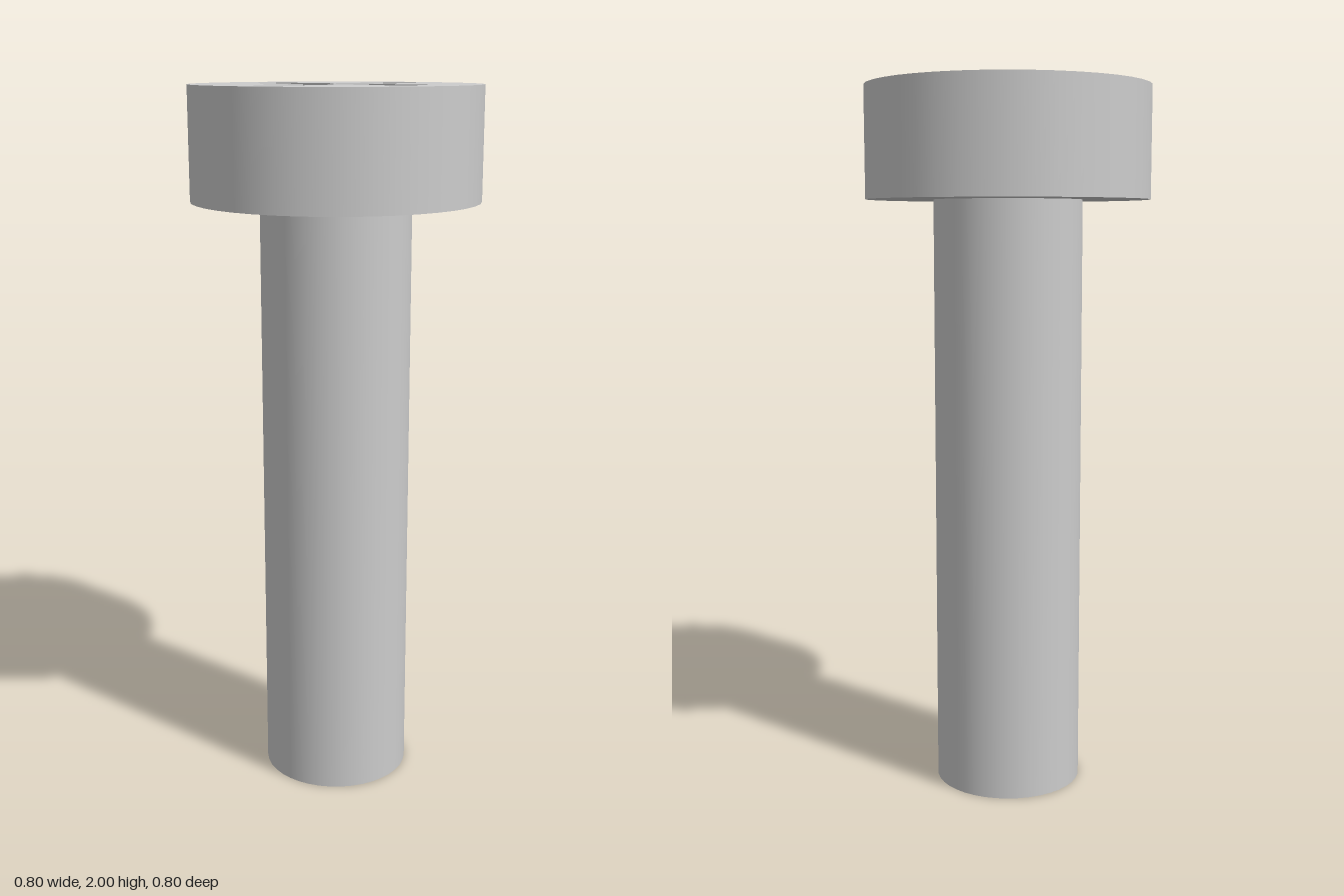
import * as THREE from 'three';

const SIDES = 40;
const HEAD_R = 0.4, SHANK_R = 0.21, TOP = 2, HEAD_BASE = 1.69;
const SLOT_LONG = 0.281, SLOT_HALF = 0.063, SLOT_DEPTH = 0.155;

// Points around a circle, matching the cylinder's sides
function circlePoints(r) {
  return Array.from({ length: SIDES }, (_, i) => {
    const a = (i / SIDES) * Math.PI * 2;
    return new THREE.Vector2(r * Math.cos(a), r * Math.sin(a));
  });
}

// Counter-clockwise outline of the cross recess, one arm per quarter turn
function crossPoints() {
  const points = [];
  for (let i = 0; i < 4; i++) {
    const arm = [[SLOT_LONG, -SLOT_HALF], [SLOT_LONG, SLOT_HALF], [SLOT_HALF, SLOT_HALF]];
    for (const [x, y] of arm) {
      points.push(new THREE.Vector2(x, y).rotateAround(new THREE.Vector2(), i * Math.PI / 2));
    }
  }
  return points;
}

// Flat horizontal face at height y, facing up or down
function flatFace(outline, hole, y, up = true) {
  const shape = new THREE.Shape(outline);
  if (hole) shape.holes.push(new THREE.Path(hole));
  return new THREE.ShapeGeometry(shape).rotateX(up ? -Math.PI / 2 : Math.PI / 2).translate(0, y, 0);
}

// Vertical walls facing into the recess
function recessWalls(outline, top, bottom) {
  const pos = [];
  outline.forEach((a, i) => {
    const b = outline[(i + 1) % outline.length];
    const at = [a.x, top, -a.y], bt = [b.x, top, -b.y];
    const ab = [a.x, bottom, -a.y], bb = [b.x, bottom, -b.y];
    pos.push(...at, ...bt, ...ab, ...bt, ...bb, ...ab);
  });
  const geometry = new THREE.BufferGeometry();
  geometry.setAttribute('position', new THREE.Float32BufferAttribute(pos, 3));
  geometry.computeVertexNormals();
  return geometry;
}

export function createModel() {
  const screw = new THREE.Group();
  screw.name = 'screw';
  const steel = new THREE.MeshStandardMaterial({ color: 0xcccccc });
  steel.name = 'steel';
  const head = new THREE.Group();
  head.name = 'head';
  screw.add(head);

  const add = (parent, name, geometry) => {
    const mesh = new THREE.Mesh(geometry, steel);
    mesh.name = name;
    parent.add(mesh);
  };

  const cross = crossPoints();
  const headHeight = TOP - HEAD_BASE;

  // Head: rim, top with cross recess, underside
  add(head, 'headRim', new THREE.CylinderGeometry(HEAD_R, HEAD_R, headHeight, SIDES, 1, true)
    .translate(0, HEAD_BASE + headHeight / 2, 0));
  add(head, 'headTop', flatFace(circlePoints(HEAD_R), cross, TOP));
  add(head, 'headUnderside', flatFace(circlePoints(HEAD_R), circlePoints(SHANK_R), HEAD_BASE, false));
  add(head, 'recessWalls', recessWalls(cross, TOP, TOP - SLOT_DEPTH));
  add(head, 'recessFloor', flatFace(cross, null, TOP - SLOT_DEPTH));

  // Plain shank with a flat end
  add(screw, 'shank', new THREE.CylinderGeometry(SHANK_R, SHANK_R, HEAD_BASE, SIDES, 1, true)
    .translate(0, HEAD_BASE / 2, 0));
  add(screw, 'shankEnd', flatFace(circlePoints(SHANK_R), null, 0, false));

  return screw;
}
